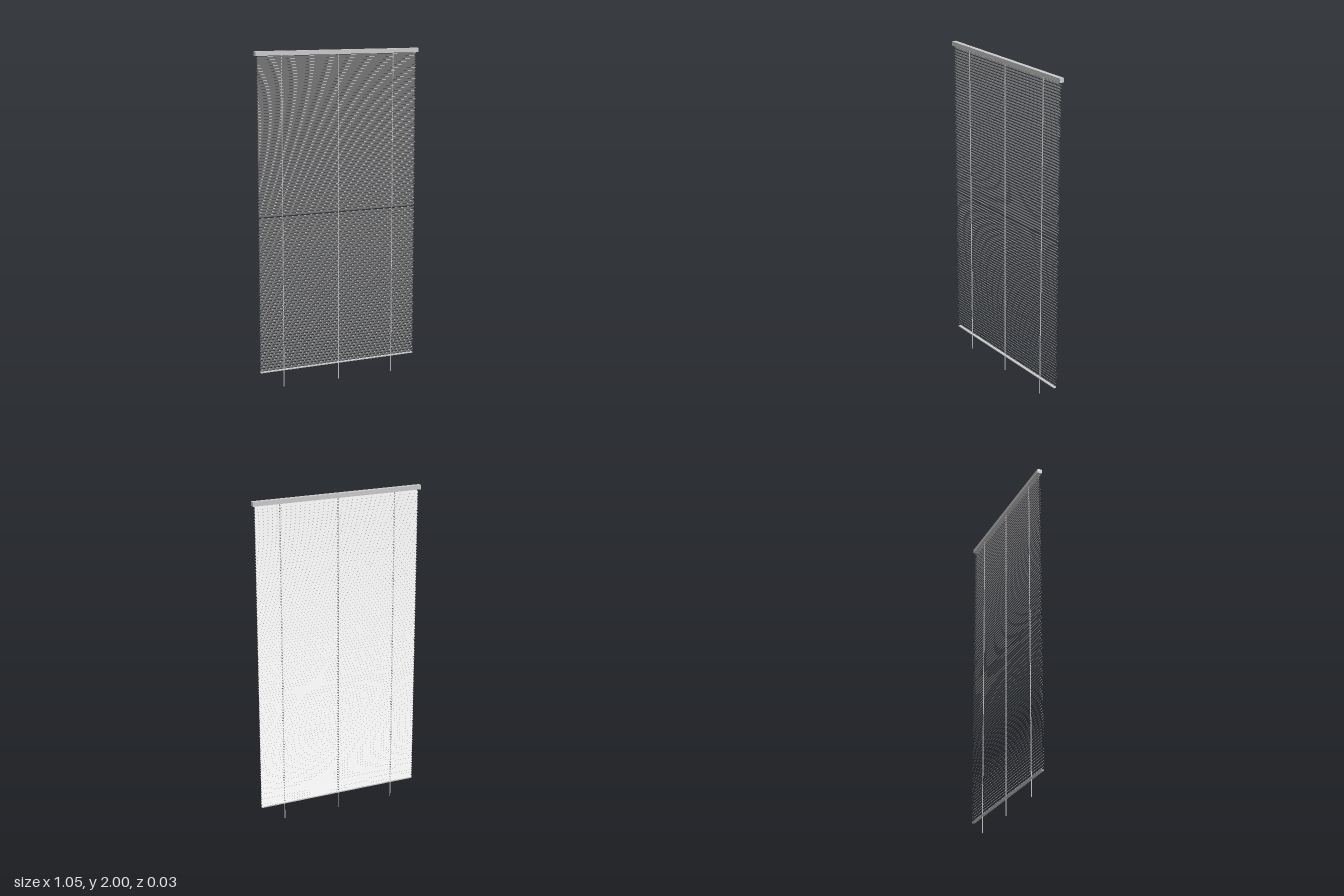
import * as THREE from 'three';

const material = new THREE.MeshStandardMaterial({ color: 0xcccccc, side: THREE.DoubleSide });
const CORD_X = [-0.36, 0, 0.36];
const SLAT_LENGTH = 1.02, SLAT_WIDTH = 0.024, SLAT_THICKNESS = 0.001;

function addMesh(parent, name, geometry, x, y, z) {
  const mesh = new THREE.Mesh(geometry, material);
  mesh.name = name;
  mesh.position.set(x, y, z);
  parent.add(mesh);
  return mesh;
}

// Thin strip with a slot for every cord, tilted so its front edge is the high one
function slatGeometry() {
  const l = SLAT_LENGTH / 2, w = SLAT_WIDTH / 2;
  const shape = new THREE.Shape();
  shape.moveTo(-l, -w).lineTo(l, -w).lineTo(l, w).lineTo(-l, w).closePath();
  for (const x of CORD_X) {
    const slot = new THREE.Path();
    slot.absellipse(x, 0, 0.004, 0.006, 0, Math.PI * 2, true);
    shape.holes.push(slot);
  }
  const geometry = new THREE.ExtrudeGeometry(shape, {
    depth: SLAT_THICKNESS, bevelEnabled: false, curveSegments: 4,
  });
  geometry.translate(0, 0, -SLAT_THICKNESS / 2);
  geometry.rotateX(Math.PI / 2 - Math.PI / 4);
  return geometry;
}

export function createModel() {
  const blind = new THREE.Group();
  blind.name = 'slattedBlind';

  // Head rail
  addMesh(blind, 'headRail', new THREE.BoxGeometry(1.05, 0.026, 0.027), 0, 1.987, 0);

  // Two stacks of slats with a slightly wider gap between them
  const slats = new THREE.Group();
  slats.name = 'slats';
  blind.add(slats);
  const geometry = slatGeometry();
  const perStack = 54;
  for (const [bottom, top] of [[0.119, 1.026], [1.048, 1.962]]) {
    for (let i = 0; i < perStack; i++) {
      const y = bottom + (top - bottom) * i / (perStack - 1);
      addMesh(slats, 'slat', geometry, 0, y, 0);
    }
  }

  // Bottom rail
  addMesh(blind, 'bottomRail', new THREE.BoxGeometry(SLAT_LENGTH, 0.005, 0.018), 0, 0.105, 0);

  // Cords running from the head rail to below the bottom rail
  for (const x of CORD_X) {
    addMesh(blind, 'cord', new THREE.CylinderGeometry(0.003, 0.003, 1.975, 8), x, 0.9875, 0);
  }
  return blind;
}
